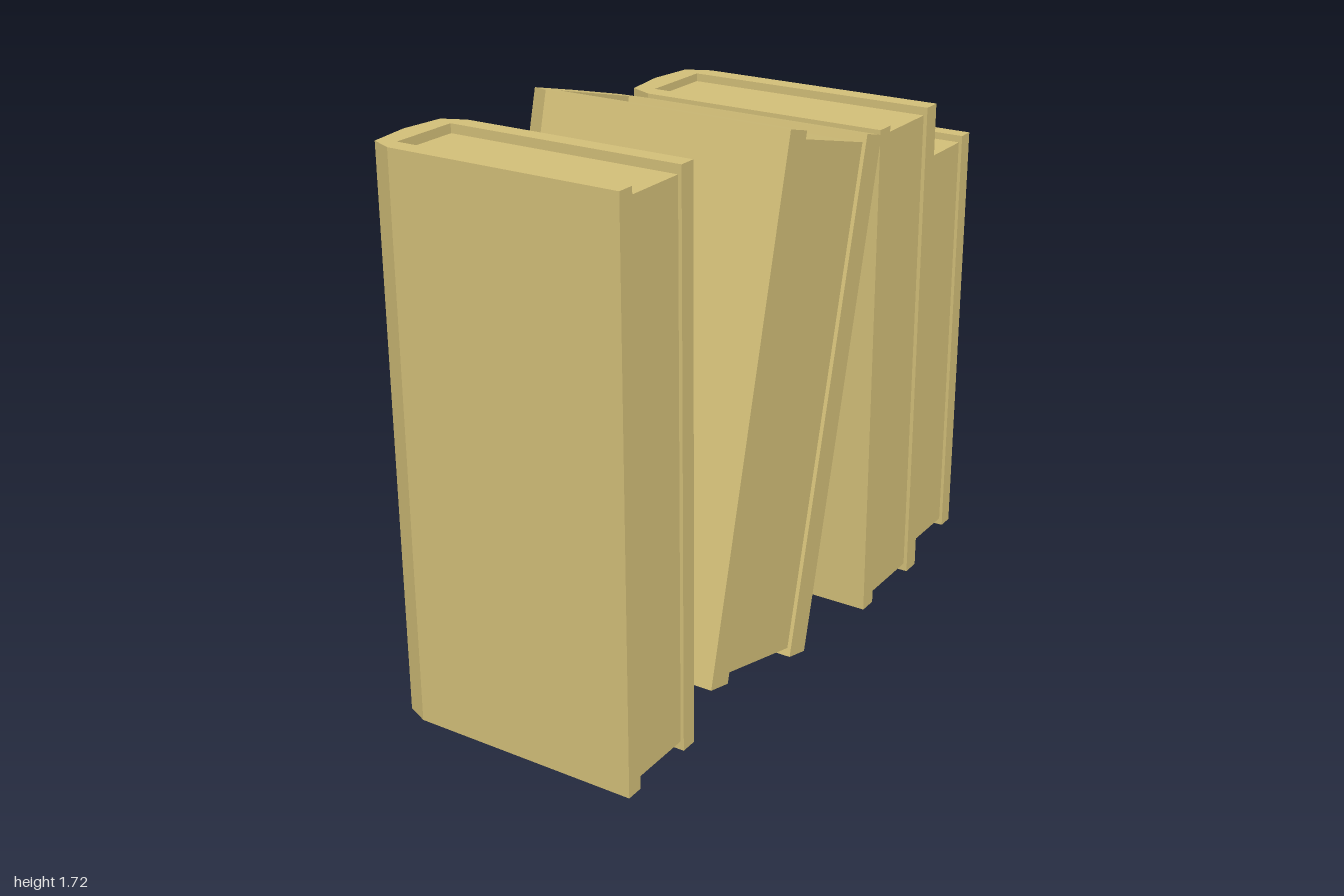
import * as THREE from 'three';

const material = new THREE.MeshStandardMaterial({ color: 0xd2be78, flatShading: true });

// Faceted U-shaped binding seen from above: x along the board, y as a fraction of half the thickness
const OUTLINE = [
  [0.455, -1], [0.455, -0.667], [-0.378, -0.667], [-0.378, 0.667], [0.455, 0.667], [0.455, 1],
  [-0.362, 1], [-0.44, 0.81], [-0.459, 0], [-0.44, -0.81], [-0.362, -1],
];
const PAGE_END = 0.443;

// One book, centred on its own origin, spine towards -x
function makeBook(name, height, thickness, scale) {
  const book = new THREE.Group();
  book.name = name;
  const half = thickness / 2;

  // Boards and spine in one piece
  const shape = new THREE.Shape(OUTLINE.map(([x, t]) => new THREE.Vector2(x * scale, t * half)));
  const coverGeo = new THREE.ExtrudeGeometry(shape, { depth: height, bevelEnabled: false });
  coverGeo.translate(0, 0, -height / 2).rotateX(-Math.PI / 2);
  const cover = new THREE.Mesh(coverGeo, material);
  cover.name = 'cover';

  // Page block, set in slightly from the top, bottom and open edge
  const x0 = -0.378 * scale, x1 = PAGE_END * scale;
  const pages = new THREE.Mesh(
    new THREE.BoxGeometry(x1 - x0, height * 0.968, thickness * 0.667), material);
  pages.position.x = (x0 + x1) / 2;
  pages.name = 'pages';

  book.add(cover, pages);
  return book;
}

export function createModel() {
  const model = new THREE.Group();
  model.name = 'bookRow';

  // name, height, thickness, depth scale, centre y, centre z, lean
  const books = [
    ['frontBook', 1.722, 0.328, 0.89, 0.861, 0.836, 0],
    ['leaningBook', 1.585, 0.552, 1, 0.878, 0.196, -0.252],
    ['middleBook', 1.592, 0.37, 1, 0.796, -0.448, 0],
    ['backBook', 1.41, 0.328, 0.89, 0.705, -0.836, 0],
  ];
  for (const [name, height, thickness, scale, y, z, lean] of books) {
    const book = makeBook(name, height, thickness, scale);
    book.position.set(0, y, z);
    book.rotation.x = lean;
    model.add(book);
  }
  return model;
}
